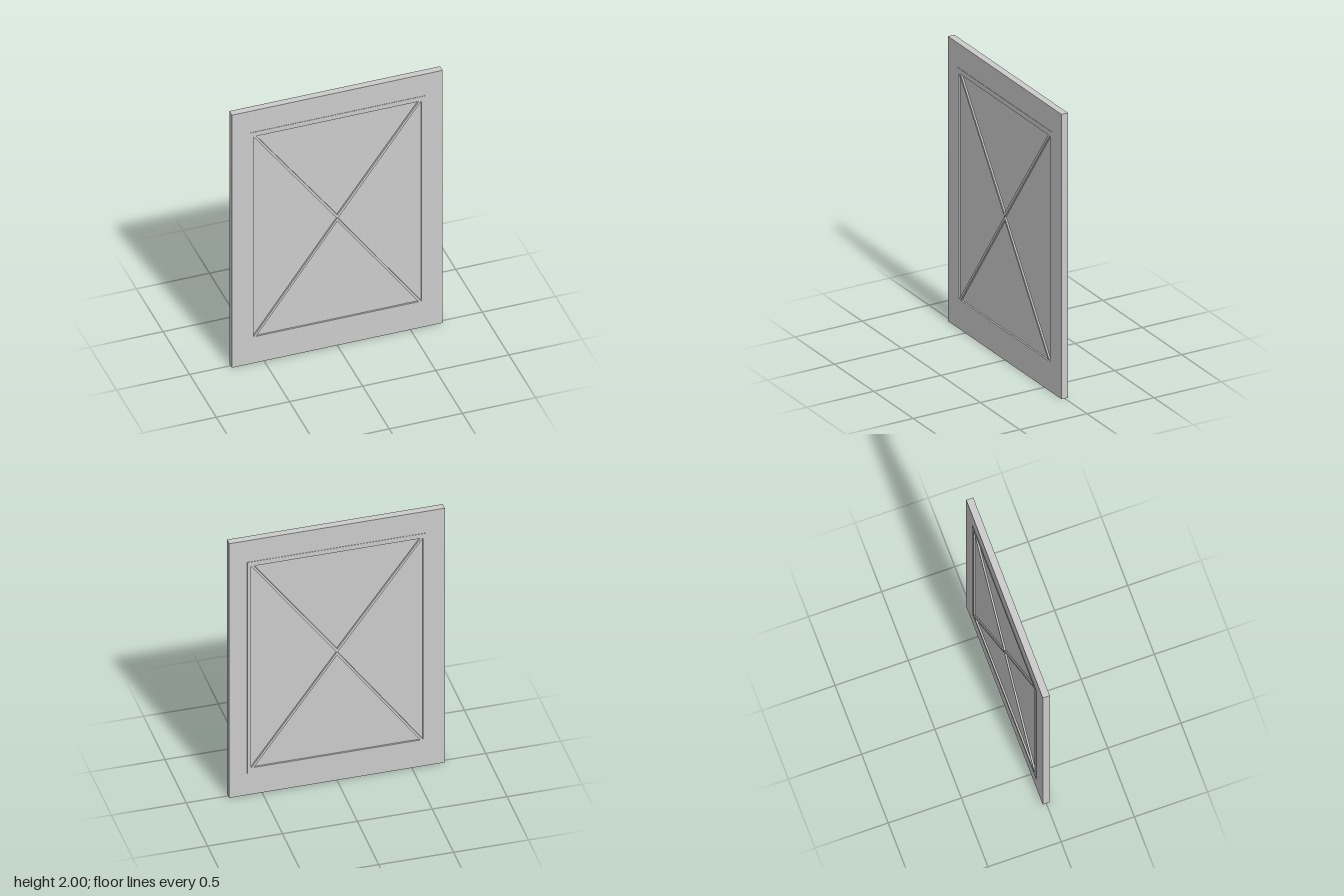
import * as THREE from 'three';

const points = (list) => list.map(([x, y]) => new THREE.Vector2(x, y));
const rect = (w, y0, y1) => points([[-w, y0], [w, y0], [w, y1], [-w, y1]]);

export function createModel() {
  const group = new THREE.Group();
  const material = new THREE.MeshStandardMaterial({ color: 0xcccccc, flatShading: true });

  // Flat outline with openings, extruded evenly about z = 0
  const addPlate = (name, outline, holes, depth) => {
    const shape = new THREE.Shape(outline);
    holes.forEach((h) => shape.holes.push(new THREE.Path(h)));
    const geometry = new THREE.ExtrudeGeometry(shape, { depth, bevelEnabled: false });
    geometry.translate(0, 0, -depth / 2);
    const mesh = new THREE.Mesh(geometry, material);
    mesh.name = name;
    group.add(mesh);
  };

  // Wide outer frame of the door
  addPlate('doorFrame', rect(0.72, 0, 2), [rect(0.6, 0.17, 1.83)], 0.048);

  // Slightly raised moulding and crossed bars, leaving four triangular openings
  const w = 0.575, bar = 0.02, low = 0.21, high = 1.795, mid = (low + high) / 2 + 0.005;
  addPlate('mouldingAndCrossBars', rect(0.6, 0.17, 1.83), [
    points([[-w + bar, high], [0, mid + 0.027], [w - bar, high]]),
    points([[-w + bar, low], [w - bar, low], [0, mid - 0.023]]),
    points([[-w, low], [-0.003, mid], [-w, high]]),
    points([[w, low], [w, high], [0.003, mid]]),
  ], 0.053);

  // Recessed panel behind the bars, seen from both sides
  addPlate('recessedPanel', rect(0.59, 0.18, 1.82), [], 0.03);

  return group;
}
